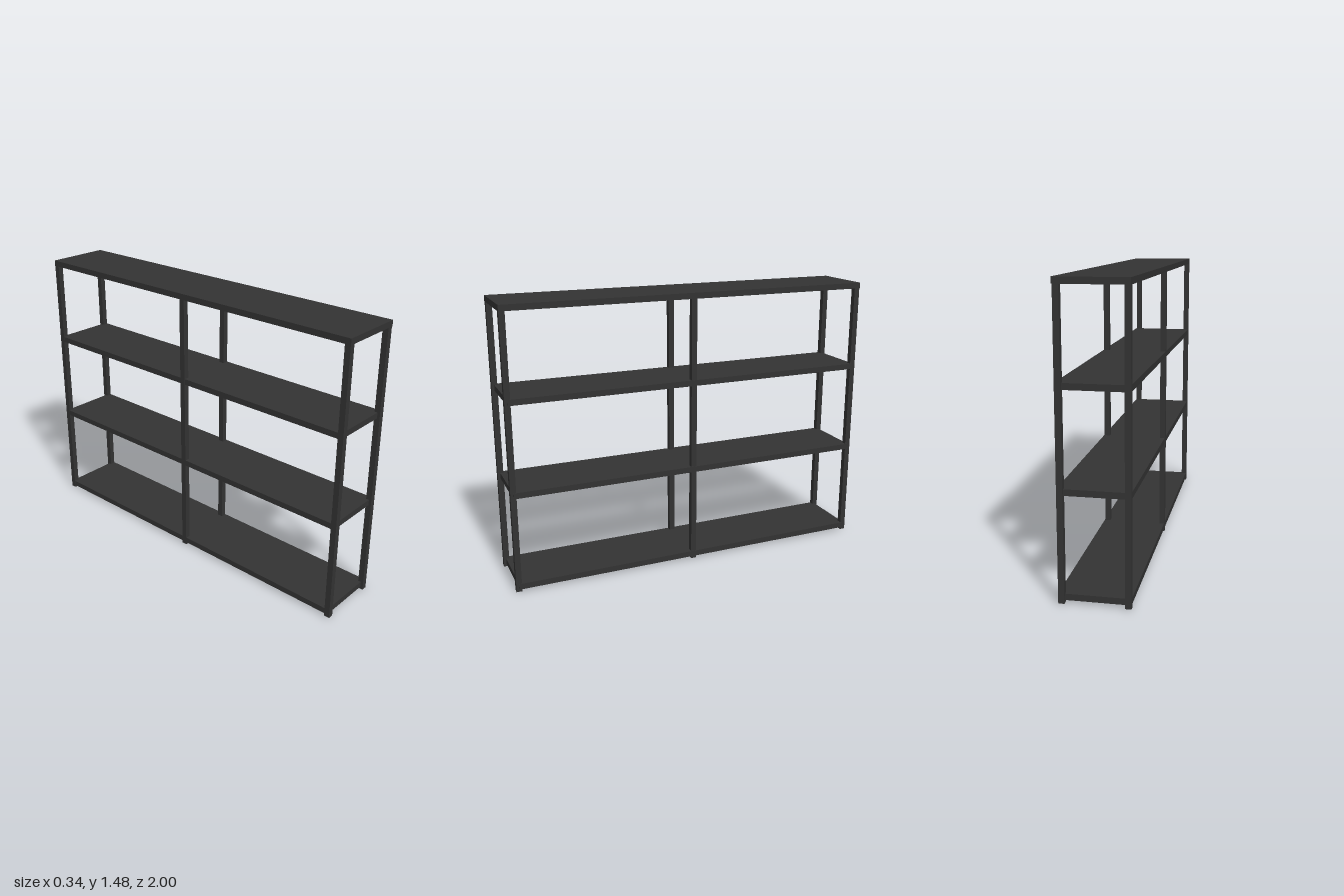
import * as THREE from 'three';

export function createModel() {
  const group = new THREE.Group();
  const material = new THREE.MeshStandardMaterial({ color: 0x333333 });

  // Box given by its extents on each axis
  const addBox = (name, [x0, x1], [y0, y1], [z0, z1]) => {
    const mesh = new THREE.Mesh(new THREE.BoxGeometry(x1 - x0, y1 - y0, z1 - z0), material);
    mesh.position.set((x0 + x1) / 2, (y0 + y1) / 2, (z0 + z1) / 2);
    mesh.name = name;
    group.add(mesh);
  };

  // Top board covers the post ends
  addBox('topBoard', [-0.172, 0.172], [1.451, 1.482], [-1, 1]);

  // Lower shelves, set just inside the ends of the frame
  for (const y of [0.013, 0.513, 0.994]) {
    addBox('shelf', [-0.17, 0.172], [y, y + 0.031], [-0.985, 0.985]);
  }

  // Three pairs of square posts
  for (const z of [-0.984, 0.002, 0.984]) {
    addBox('rightPost', [-0.172, -0.143], [0, 1.451], [z - 0.015, z + 0.015]);
    addBox('leftPost', [0.14, 0.169], [0, 1.451], [z - 0.015, z + 0.015]);
  }
  return group;
}
